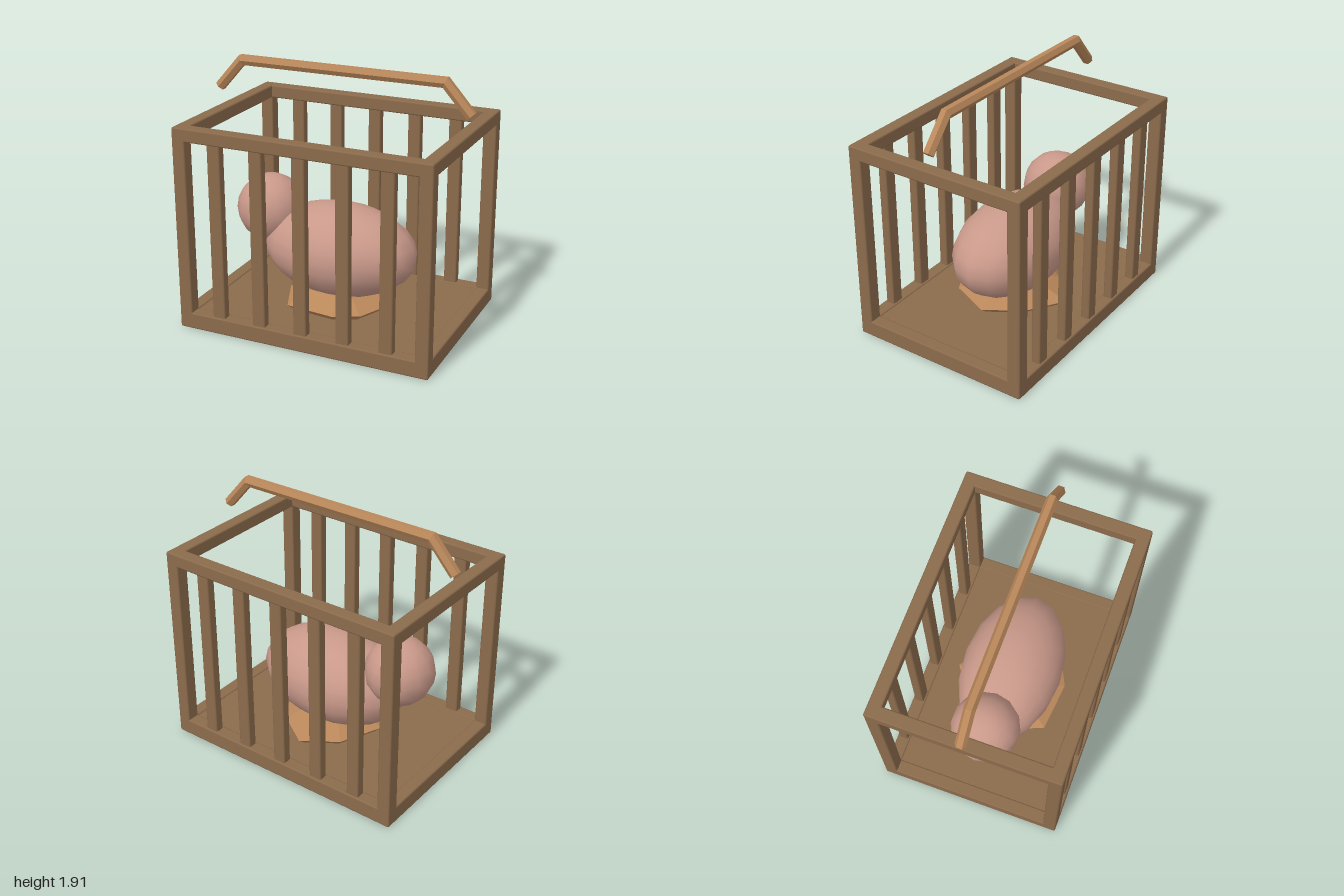
import * as THREE from 'three';
import { RoundedBoxGeometry } from 'three/addons/geometries/RoundedBoxGeometry.js';
import { ConvexGeometry } from 'three/addons/geometries/ConvexGeometry.js';

export function createModel() {
  const model = new THREE.Group();
  const mat = (name, color, flatShading = false) => {
    const m = new THREE.MeshStandardMaterial({ color, flatShading });
    m.name = name;
    return m;
  };
  const wood = mat('darkWood', 0x8b6b4c);
  const straw = mat('strawTan', 0xb9875a, true);
  const skin = mat('dustyPink', 0xc9998a);

  const add = (name, geometry, material, x = 0, y = 0, z = 0) => {
    const mesh = new THREE.Mesh(geometry, material);
    mesh.name = name;
    mesh.position.set(x, y, z);
    model.add(mesh);
    return mesh;
  };
  const beam = (name, w, h, d, x, y, z) =>
    add(name, new RoundedBoxGeometry(w, h, d, 1, 0.012), wood, x, y, z);

  // Cage floor, recessed between the bottom rails
  add('floor', new THREE.BoxGeometry(1.78, 0.06, 1.24), wood, 0, 0.085, 0);

  // Frame rails, posts and bars
  for (const s of [-1, 1]) {
    beam('bottomLongRail', 1.94, 0.125, 0.1, 0, 0.0625, s * 0.65);
    beam('topLongRail', 1.94, 0.1, 0.1, 0, 1.48, s * 0.65);
    beam('bottomSideRail', 0.1, 0.125, 1.36, s * 0.92, 0.0625, 0);
    beam('topSideRail', 0.1, 0.1, 1.36, s * 0.92, 1.48, 0);
    for (const t of [-1, 1]) beam('cornerPost', 0.1, 1.42, 0.1, s * 0.92, 0.77, t * 0.65);
    for (let i = -2; i <= 2; i++) beam('bar', 0.1, 1.36, 0.07, i * 0.325, 0.78, s * 0.65);
  }

  // Body and head
  const body = add('body', new THREE.SphereGeometry(1, 16, 12), skin, 0, 0.53, 0);
  body.scale.set(0.6, 0.35, 0.38);
  add('head', new THREE.SphereGeometry(0.257, 14, 10), skin, -0.57, 0.77, 0);

  // Ragged nest: an uneven rim with a smaller top and base
  const rim = [[0, -0.45], [0.27, -0.27], [0.44, 0], [0.3, 0.31],
    [0.12, 0.4], [-0.26, 0.36], [-0.39, 0.05], [-0.25, -0.28]];
  const nestPoints = [];
  for (const [x, z] of rim) {
    nestPoints.push(
      new THREE.Vector3(x, 0.165, z),
      new THREE.Vector3(x * 0.55, 0.245, z * 0.55),
      new THREE.Vector3(x * 0.85, 0.11, z * 0.85));
  }
  add('nest', new ConvexGeometry(nestPoints), straw);

  // Hexagonal carrying handle with mitred bends
  add('handle', hexSweep([[-0.975, 1.66], [-0.785, 1.875], [0.785, 1.875], [0.975, 1.66]], 0.041), straw);

  return model;
}

// Sweeps a flat-topped hexagon along a path in the XY plane
function hexSweep(path, radius) {
  const pts = path.map(([x, y]) => new THREE.Vector2(x, y));
  const dir = (i) => pts[i + 1].clone().sub(pts[i]).normalize();
  const positions = [];
  const index = [];
  const last = pts.length - 1;
  pts.forEach((p, i) => {
    const a = dir(Math.max(i - 1, 0));
    const b = dir(Math.min(i, last - 1));
    const t = a.clone().add(b).normalize();
    const stretch = 1 / t.dot(a);
    for (let k = 0; k < 6; k++) {
      const angle = (k * Math.PI) / 3;
      const up = Math.sin(angle) * radius * stretch;
      positions.push(p.x - t.y * up, p.y + t.x * up, Math.cos(angle) * radius);
    }
    if (i === last) return;
    for (let k = 0; k < 6; k++) {
      const c = i * 6 + k;
      const d = i * 6 + ((k + 1) % 6);
      index.push(c, c + 6, d, d, c + 6, d + 6);
    }
  });
  // End caps
  for (let k = 1; k < 5; k++) {
    index.push(0, k, k + 1, last * 6, last * 6 + k + 1, last * 6 + k);
  }
  const g = new THREE.BufferGeometry();
  g.setAttribute('position', new THREE.Float32BufferAttribute(positions, 3));
  g.setIndex(index);
  const flat = g.toNonIndexed();
  flat.computeVertexNormals();
  return flat;
}
